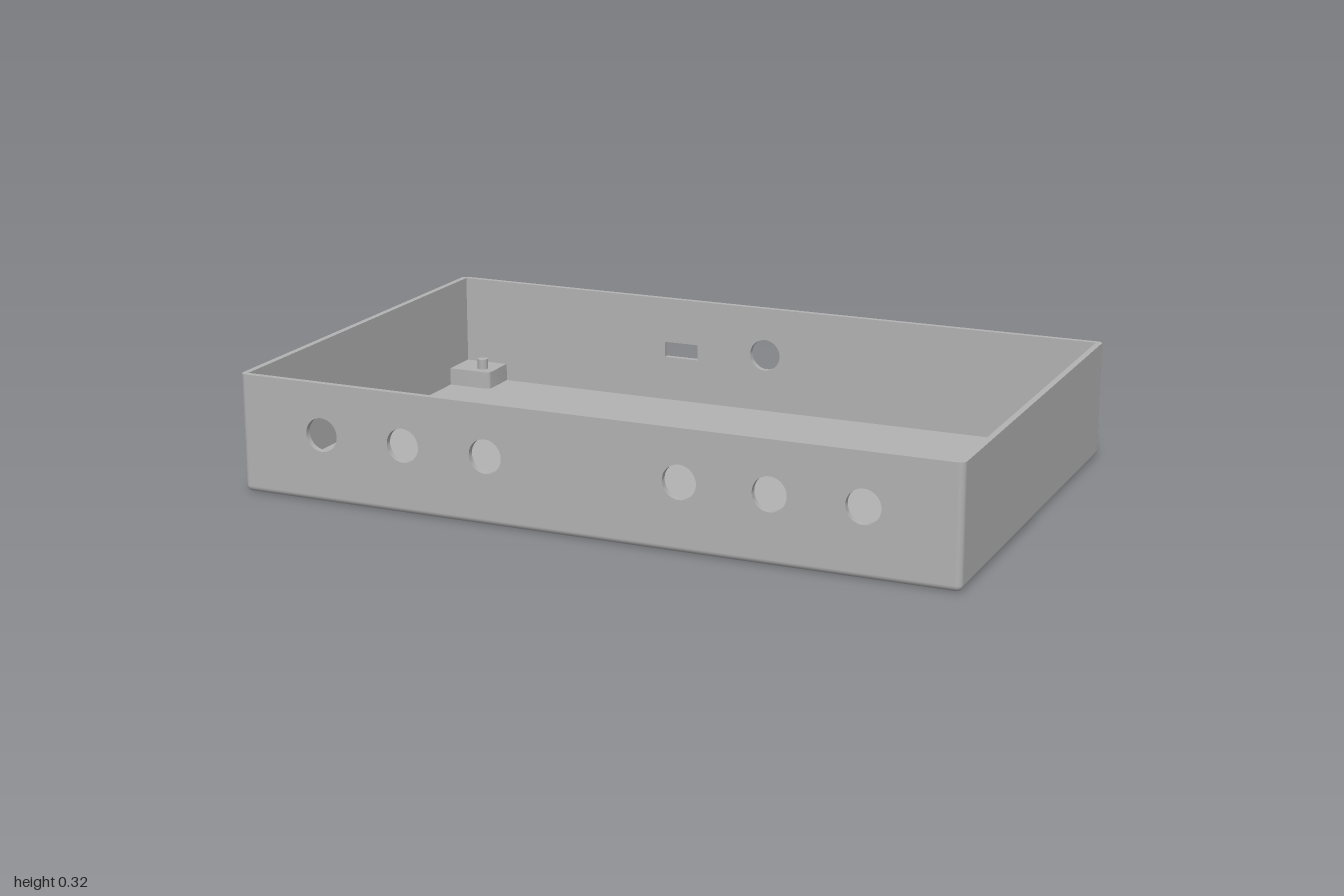
import * as THREE from 'three';
import { toCreasedNormals } from 'three/addons/utils/BufferGeometryUtils.js';

const T = 0.017;            // wall and floor thickness, also the outer edge radius
const H = 0.325;            // tray height
const X = 1 - T;            // inner half width
const Z = 0.623 - T;        // inner half depth
const POST_TOP = 0.068;

const grey = new THREE.MeshStandardMaterial({ color: 0xb2b2b2 });
grey.name = 'plain grey';

function add(parent, name, geometry, x = 0, y = 0, z = 0) {
  const mesh = new THREE.Mesh(geometry, grey);
  mesh.name = name;
  mesh.position.set(x, y, z);
  parent.add(mesh);
  return mesh;
}

function roundHole(x) {
  return new THREE.Path().absarc(x, 0.185, 0.046, 0, Math.PI * 2, true);
}

function slotHole(x, y, w, h) {
  return new THREE.Path([
    [-1, -1], [-1, 1], [1, 1], [1, -1], [-1, -1],
  ].map(([i, j]) => new THREE.Vector2(x + i * w / 2, y + j * h / 2)));
}

// Long wall plate pierced by the given holes
function longWall(holes) {
  const shape = new THREE.Shape([
    new THREE.Vector2(-X, T), new THREE.Vector2(X, T),
    new THREE.Vector2(X, H), new THREE.Vector2(-X, H),
  ]);
  shape.holes.push(...holes);
  const geo = new THREE.ExtrudeGeometry(shape, { depth: T, bevelEnabled: false, curveSegments: 20 });
  return toCreasedNormals(geo, 0.6);
}

// Corner post with one rounded corner facing the middle of the tray
function cornerPost(parent, name, sx, sz, edgeX, edgeZ, r, pinX, pinZ) {
  const s = new THREE.Shape();
  s.moveTo(sx * X, -sz * Z);
  s.lineTo(sx * edgeX, -sz * Z);
  s.lineTo(sx * edgeX, -sz * (edgeZ + r));
  s.quadraticCurveTo(sx * edgeX, -sz * edgeZ, sx * (edgeX + r), -sz * edgeZ);
  s.lineTo(sx * X, -sz * edgeZ);
  s.closePath();
  const geo = new THREE.ExtrudeGeometry(s, { depth: POST_TOP - T, bevelEnabled: false, curveSegments: 6 });
  geo.rotateX(-Math.PI / 2);
  const post = new THREE.Group();
  post.name = name;
  parent.add(post);
  add(post, 'postBlock', toCreasedNormals(geo, 0.6), 0, T, 0);
  add(post, 'postPin', new THREE.CylinderGeometry(0.016, 0.016, 0.03, 20),
    sx * pinX, POST_TOP + 0.015, sz * pinZ);
}

export function createModel() {
  const tray = new THREE.Group();
  tray.name = 'openTray';

  // Floor and walls
  add(tray, 'floor', new THREE.BoxGeometry(2 * X, T, 2 * Z), 0, T / 2, 0);
  const frontHoles = [-0.755, -0.513, -0.273, 0.267, 0.507, 0.75].map(roundHole);
  add(tray, 'frontWall', longWall(frontHoles), 0, 0, Z);
  add(tray, 'backWall', longWall([roundHole(0), slotHole(-0.267, 0.17, 0.105, 0.046)]), 0, 0, -Z - T);
  for (const s of [-1, 1]) {
    add(tray, s > 0 ? 'leftWall' : 'rightWall',
      new THREE.BoxGeometry(T, H - T, 2 * Z), s * (X + T / 2), (H + T) / 2, 0);
  }

  // Rounded outer edges: four uprights, four bottom corners, four bottom edges
  const q = Math.PI / 2;
  const corners = [[1, 1], [1, -1], [-1, -1], [-1, 1]];
  corners.forEach(([sx, sz], k) => {
    const upright = new THREE.CylinderGeometry(T, T, H - T, 8, 1, false, 0, q);
    add(tray, 'uprightEdge', upright, sx * X, (H + T) / 2, sz * Z).rotation.y = k * q;
    const ball = new THREE.SphereGeometry(T, 8, 8, q, q, q, q);
    add(tray, 'bottomCorner', ball, sx * X, T, sz * Z).rotation.y = k * q;

    const along = k % 2 ? Z : X;
    const edge = new THREE.CylinderGeometry(T, T, 2 * along, 8, 1, true, -q, q);
    edge.rotateZ(q);
    edge.rotateY(k * q);
    add(tray, 'bottomEdge', edge, [0, X, 0, -X][k], T, [Z, 0, -Z, 0][k]);
  });

  // Mounting posts in the inner corners
  cornerPost(tray, 'backRightPost', -1, -1, 0.85, 0.492, 0.016, 0.893, 0.533);
  cornerPost(tray, 'backLeftPost', 1, -1, 0.861, 0.497, 0.03, 0.902, 0.537);
  cornerPost(tray, 'frontRightPost', -1, 1, 0.849, 0.497, 0.02, 0.89, 0.537);
  cornerPost(tray, 'frontLeftPost', 1, 1, 0.866, 0.492, 0.012, 0.906, 0.532);

  return tray;
}
